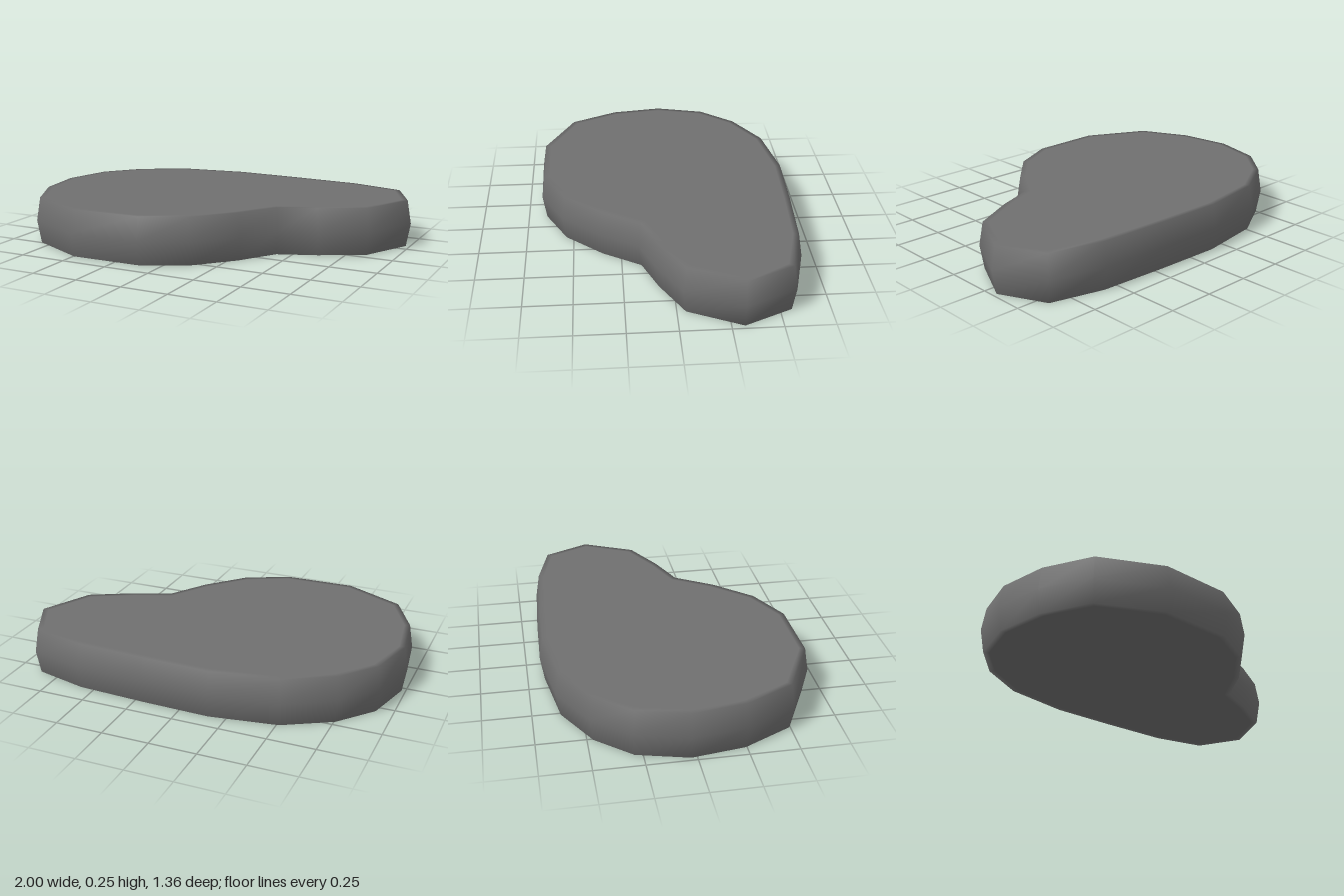
import * as THREE from 'three';

// Plan outline as [x, z], running from the left end round the back
const OUTLINE = [
  [-1, -0.03], [-0.93, -0.3], [-0.77, -0.485], [-0.52, -0.625], [-0.16, -0.68],
  [0.2, -0.67], [0.58, -0.65], [0.875, -0.575], [1, -0.315], [0.86, -0.03],
  [0.63, 0.09], [0.435, 0.165], [0.31, 0.36], [0.13, 0.555], [-0.11, 0.67],
  [-0.5, 0.675], [-0.83, 0.51], [-0.96, 0.25],
].map(([x, z]) => new THREE.Vector2(x, z));

// Cross-section as [inset, height]: slightly bulging rim, soft edges onto flat caps
const PROFILE = [[0.05, 0], [0.02, 0], [0, 0.125], [0.02, 0.25], [0.05, 0.25]];

// Move every outline corner inwards along its mitre
function insetOutline(points, distance) {
  const n = points.length;
  const normal = (a, b) => new THREE.Vector2(b.y - a.y, a.x - b.x).normalize();
  return points.map((p, i) => {
    const n1 = normal(points[(i + n - 1) % n], p);
    const n2 = normal(p, points[(i + 1) % n]);
    const mitre = n1.clone().add(n2).divideScalar(1 + n1.dot(n2));
    return p.clone().addScaledVector(mitre, -distance);
  });
}

function slabGeometry() {
  const n = OUTLINE.length;
  const positions = [];
  const indices = [];
  const rings = PROFILE.map(([inset]) => insetOutline(OUTLINE, inset));
  rings.forEach((ring, k) => ring.forEach((p) => positions.push(p.x, PROFILE[k][1], p.y)));

  // Rim: quads between neighbouring rings
  for (let k = 0; k < rings.length - 1; k++) {
    for (let i = 0; i < n; i++) {
      const a = k * n + i, b = k * n + (i + 1) % n;
      indices.push(a, a + n, b, b, a + n, b + n);
    }
  }

  // Flat caps, turned to face up or down
  const last = (rings.length - 1) * n;
  for (const [p, q, r] of THREE.ShapeUtils.triangulateShape(rings[0], [])) {
    const [P, Q, R] = [p, q, r].map((i) => rings[0][i]);
    const up = Q.clone().sub(P).cross(R.clone().sub(P)) < 0;
    const [s, t] = up ? [q, r] : [r, q];
    indices.push(last + p, last + s, last + t, p, t, s);
  }

  const geometry = new THREE.BufferGeometry();
  geometry.setAttribute('position', new THREE.Float32BufferAttribute(positions, 3));
  geometry.setIndex(indices);
  geometry.computeVertexNormals();
  return geometry;
}

export function createModel() {
  const group = new THREE.Group();
  const material = new THREE.MeshStandardMaterial({ color: 0x707070 }); // dark stone
  const slab = new THREE.Mesh(slabGeometry(), material);
  slab.name = 'steppingStone';
  group.add(slab);
  return group;
}
